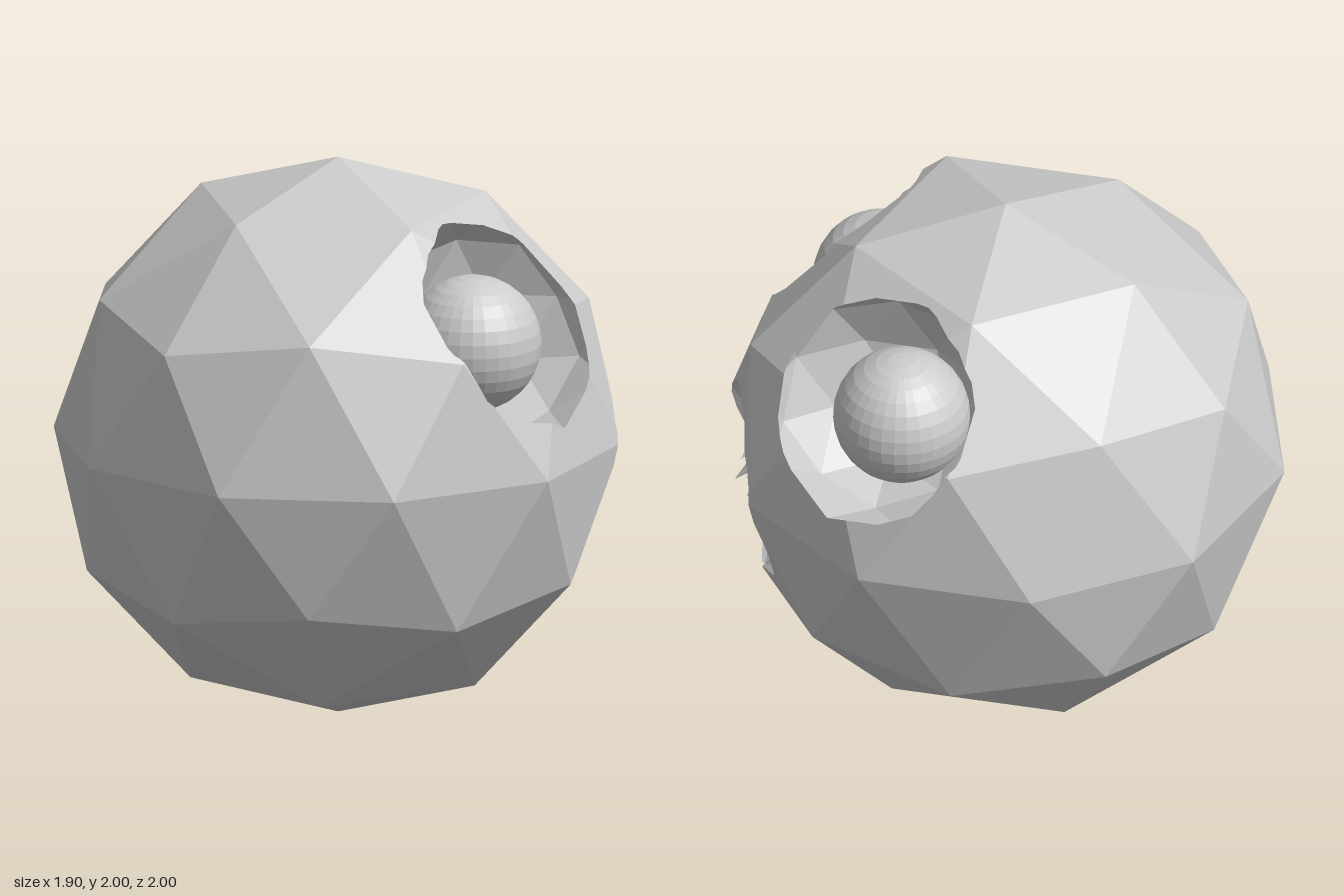
import * as THREE from 'three';

const material = new THREE.MeshStandardMaterial({ color: 0xcccccc, flatShading: true });
const V = (x, y, z) => new THREE.Vector3(x, y, z);

// Faceted ball with a corner at the pole, as a list of triangles
function facetedBall(radius, center) {
  const g = new THREE.IcosahedronGeometry(radius, 1);
  g.rotateZ(-Math.atan(2 / (1 + Math.sqrt(5)))).translate(center.x, center.y, center.z);
  const p = g.attributes.position, faces = [];
  for (let i = 0; i < p.count; i += 3) {
    faces.push([0, 1, 2].map(k => new THREE.Vector3().fromBufferAttribute(p, i + k)));
  }
  return faces;
}

const planesOf = faces => faces.map(f => new THREE.Plane().setFromCoplanarPoints(...f));

// Part of a convex polygon on one side of a plane (side 1: outside, -1: inside)
function clip(poly, plane, side) {
  const out = [];
  poly.forEach((a, i) => {
    const b = poly[(i + 1) % poly.length];
    const da = side * plane.distanceToPoint(a), db = side * plane.distanceToPoint(b);
    if (da >= 0) out.push(a);
    if ((da > 1e-7 && db < -1e-7) || (da < -1e-7 && db > 1e-7)) {
      out.push(a.clone().lerp(b, da / (da - db)));
    }
  });
  return out.length > 2 ? out : [];
}

// Pieces of a polygon lying inside / outside a convex solid
function keepInside(poly, planes) {
  for (const plane of planes) {
    poly = clip(poly, plane, -1);
    if (!poly.length) break;
  }
  return poly;
}

function keepOutside(poly, planes) {
  if (!keepInside(poly, planes).length) return [poly];
  const pieces = [];
  for (const plane of planes) {
    const outer = clip(poly, plane, 1);
    if (outer.length) pieces.push(outer);
    poly = clip(poly, plane, -1);
    if (!poly.length) break;
  }
  return pieces;
}

function meshFrom(polys, name) {
  const points = [];
  for (const p of polys) {
    for (let i = 1; i < p.length - 1; i++) points.push(p[0], p[i], p[i + 1]);
  }
  const g = new THREE.BufferGeometry().setFromPoints(points);
  g.computeVertexNormals();
  const mesh = new THREE.Mesh(g, material);
  mesh.name = name;
  return mesh;
}

export function createModel() {
  const model = new THREE.Group();
  model.name = 'facetedHead';

  // Head with carved hollows
  const head = facetedBall(1, V(0, 1, 0));
  const headPlanes = planesOf(head);
  const hollows = [
    { name: 'leftFaceSocket', radius: 0.42, center: V(0.5, 1.5, 0.5) },
    { name: 'rightFaceSocket', radius: 0.42, center: V(0.5, 1.5, -0.5) },
    { name: 'mouthHollow', radius: 0.41, center: V(1.06, 0.84, 0) },
  ];
  let shell = head;
  for (const { name, radius, center } of hollows) {
    const cutter = facetedBall(radius, center);
    const planes = planesOf(cutter);
    shell = shell.flatMap(f => keepOutside(f, planes));
    const lining = cutter.map(f => keepInside([...f].reverse(), headPlanes)).filter(f => f.length);
    model.add(meshFrom(lining, name));
  }
  model.add(meshFrom(shell, 'head'));

  // Eyes
  for (const s of [1, -1]) {
    const eye = new THREE.Mesh(new THREE.SphereGeometry(0.24, 32, 16), material);
    eye.position.set(0.4, 1.41, s * 0.405);
    eye.name = 'eye';
    model.add(eye);
  }

  // Teeth: base centre in the mouth wall, tip pointing out
  const addTooth = (base, tip) => {
    const axis = tip.clone().sub(base);
    const tooth = new THREE.Mesh(new THREE.ConeGeometry(0.062, axis.length(), 32), material);
    tooth.position.copy(base).add(tip).multiplyScalar(0.5);
    tooth.quaternion.setFromUnitVectors(V(0, 1, 0), axis.normalize());
    tooth.name = 'tooth';
    model.add(tooth);
  };
  addTooth(V(0.75, 1.06, 0), V(0.95, 0.865, 0));
  for (const s of [1, -1]) {
    addTooth(V(0.74, 1.02, s * 0.2), V(0.92, 0.87, s * 0.107));
    addTooth(V(0.71, 0.7, s * 0.15), V(0.86, 0.84, s * 0.055));
  }
  return model;
}
